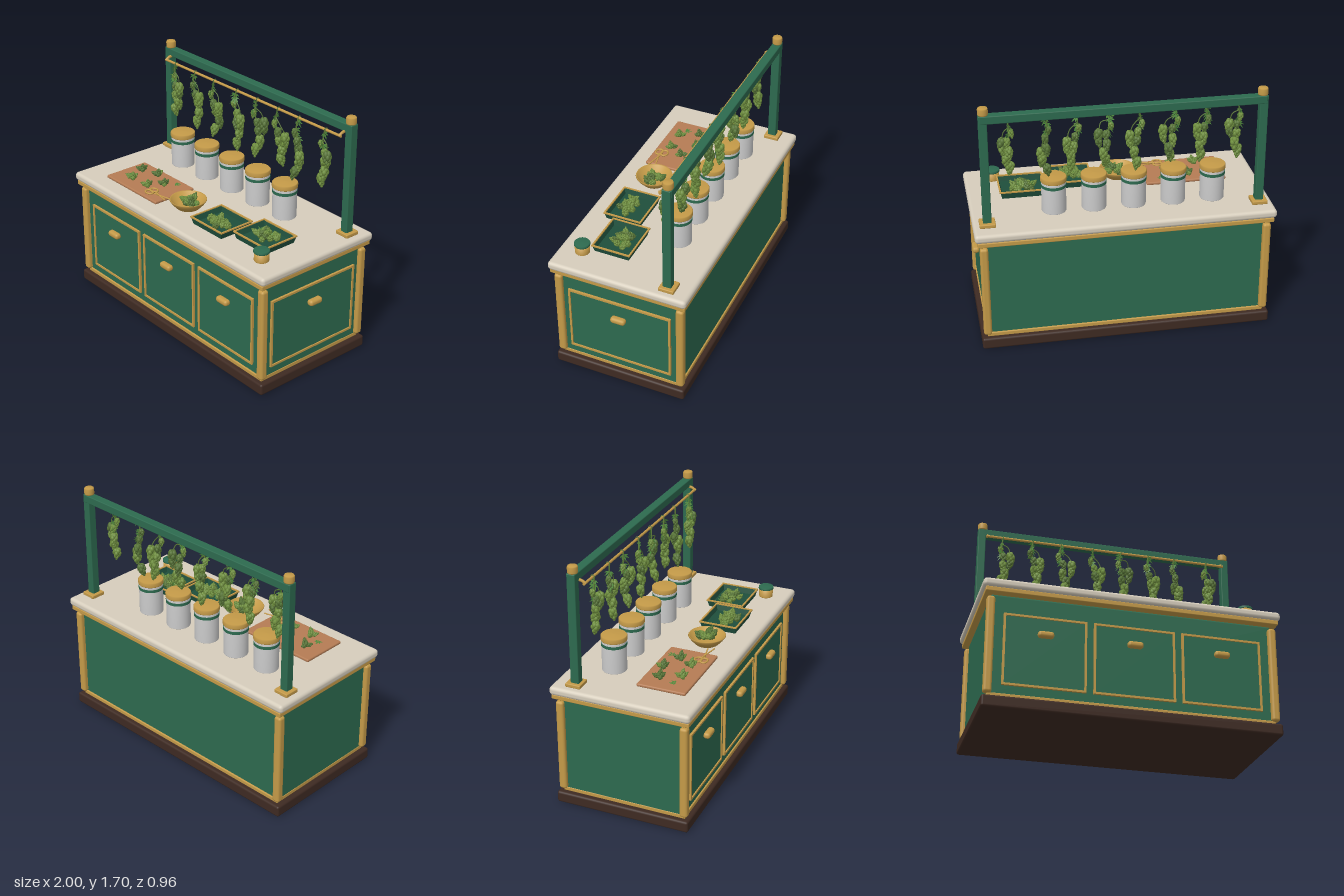
import * as THREE from 'three';
import { mergeGeometries } from 'three/addons/utils/BufferGeometryUtils.js';
import { RoundedBoxGeometry } from 'three/addons/geometries/RoundedBoxGeometry.js';

const mat = (color, extra = {}) => new THREE.MeshStandardMaterial({ color, ...extra });
const GREEN = mat(0x2d6a4f), GOLD = mat(0xc49a48), STONE = mat(0xd6cdbc), DARK = mat(0x3e2a22);
const WOOD = mat(0xb57c54), CERAMIC = mat(0xdde1e1), TRAY = mat(0x1f4f3c, { flatShading: true });
const BUD = mat(0x6f8f3e), BUD2 = mat(0x587537), STEM = mat(0x5d7a38);
const LEAF = mat(0x4f8a3c, { side: THREE.DoubleSide });

let seed = 7;
const rand = (a, b) => {
  seed = (seed * 16807) % 2147483647;
  return a + (b - a) * (seed / 2147483647);
};
const V = (x, y, z) => new THREE.Vector3(x, y, z);

export function createModel() {
  const root = new THREE.Group();

  function add(name, geo, material, x = 0, y = 0, z = 0, parent = root) {
    const m = new THREE.Mesh(geo, material);
    m.name = name;
    m.position.set(x, y, z);
    parent.add(m);
    return m;
  }
  function group(name, x = 0, y = 0, z = 0) {
    const g = new THREE.Group();
    g.name = name;
    g.position.set(x, y, z);
    root.add(g);
    return g;
  }
  const box = (w, h, d, r = 0.006) => new RoundedBoxGeometry(w, h, d, 2, r);
  const lathe = (pts, n = 32) => new THREE.LatheGeometry(pts.map(p => new THREE.Vector2(...p)), n);
  const tube = (pts, r, n = 10) => new THREE.TubeGeometry(new THREE.CatmullRomCurve3(pts), n, r, 6);

  // Rectangular trim with an open middle, lying in the XY plane
  function trim(w, h, t, depth) {
    const rect = (C, a, b) => new C([[-a, -b], [a, -b], [a, b], [-a, b]].map(p => new THREE.Vector2(...p)));
    const s = rect(THREE.Shape, w / 2, h / 2);
    s.holes.push(rect(THREE.Path, w / 2 - t, h / 2 - t));
    return new THREE.ExtrudeGeometry(s, { depth, bevelEnabled: false });
  }

  // Cabinet
  add('plinth', box(1.965, 0.08, 0.93, 0.015), DARK, 0, 0.04, 0);
  add('baseTrim', box(1.89, 0.03, 0.865), GOLD, 0, 0.092, 0);
  add('cabinetBody', box(1.885, 0.69, 0.845, 0.015), GREEN, 0, 0.435, 0);
  add('topTrim', box(1.965, 0.032, 0.945), GOLD, 0, 0.794, 0);
  add('countertop', box(2, 0.06, 0.965, 0.024), STONE, 0, 0.84, 0);
  for (const x of [-0.943, 0.943]) for (const z of [-0.428, 0.428])
    add('cornerPost', box(0.055, 0.655, 0.055, 0.018), GOLD, x, 0.428, z);

  // Drawer fronts, three on the front and one on the left end
  function drawer(w, x, z, turn) {
    const g = group('drawer', x, 0, z);
    g.rotation.y = turn;
    add('drawerPanel', box(w - 0.02, 0.465, 0.016, 0.004), GREEN, 0, 0.408, 0, g);
    add('drawerTrim', trim(w, 0.487, 0.014, 0.016), GOLD, 0, 0.408, 0, g);
    add('drawerHandle', box(0.105, 0.043, 0.048, 0.019), GOLD, 0, 0.523, 0.026, g);
  }
  for (const x of [-0.586, 0, 0.586]) drawer(0.54, x, 0.422, 0);
  drawer(0.725, 0.942, 0, Math.PI / 2);

  // Hanging frame
  for (const s of [-1, 1]) {
    add('framePost', box(0.055, 0.775, 0.058), GREEN, s * 0.905, 1.257, -0.328);
    add('postFoot', box(0.105, 0.026, 0.105), GOLD, s * 0.905, 0.883, -0.332);
    add('postCap', lathe([[0, 0], [0.032, 0], [0.034, 0.006], [0.034, 0.04], [0.03, 0.048], [0, 0.05]]),
      GOLD, s * 0.9, 1.645, -0.328);
    add('rodBracket', tube([V(0, 1.592, -0.31), V(0, 1.585, -0.28), V(0, 1.568, -0.255)], 0.01), GOLD, s * 0.868);
  }
  add('frameBeam', box(1.85, 0.055, 0.062), GREEN, 0, 1.617, -0.33);
  const rod = add('hangingRod', new THREE.CylinderGeometry(0.009, 0.009, 1.76, 12), GOLD, 0, 1.57, -0.264);
  rod.rotation.z = Math.PI / 2;

  // Storage jars
  for (let i = 0; i < 5; i++) {
    const g = group('storageJar', -0.617 + i * 0.267, 0.868, -0.2);
    add('jarBody', lathe([[0, 0], [0.078, 0], [0.082, 0.006], [0.082, 0.21], [0.078, 0.22], [0, 0.22]]),
      CERAMIC, 0, 0, 0, g);
    add('jarBand', new THREE.CylinderGeometry(0.0845, 0.0845, 0.02, 32), GREEN, 0, 0.19, 0, g);
    add('jarLid', lathe([[0, 0.218], [0.085, 0.218], [0.087, 0.222], [0.087, 0.246], [0.082, 0.252], [0, 0.255]]),
      GOLD, 0, 0, 0, g);
  }

  // Bud: tapering rings of lumps, one unit long, base at origin, tip along +y
  const lumps = [];
  [[0.14, 4], [0.2, 4], [0.17, 3], [0.1, 3], [0, 1]].forEach(([wide, n], i) => {
    const s = 0.2 - i * 0.022;
    for (let k = 0; k < n; k++) {
      const a = (k / n) * Math.PI * 2 + i * 0.8;
      lumps.push(new THREE.SphereGeometry(1, 7, 5).scale(s, s * 1.2, s)
        .translate(Math.cos(a) * wide, 0.13 + i * 0.185, Math.sin(a) * wide));
    }
  });
  const budGeo = mergeGeometries(lumps);

  // Fan leaf of five pointed leaflets along +y
  const leafGeo = mergeGeometries([-2, -1, 0, 1, 2].map(k => {
    const l = 1 - Math.abs(k) * 0.2;
    const s = new THREE.Shape([[0, 0], [0.11, l * 0.5], [0, l], [-0.11, l * 0.5]].map(p => new THREE.Vector2(...p)));
    return new THREE.ShapeGeometry(s).rotateZ(k * 0.6);
  }));

  const up = V(0, 1, 0);
  function bud(p, dir, size, parent, fat = 1) {
    const m = add('bud', budGeo, rand(0, 1) < 0.7 ? BUD : BUD2, p.x, p.y, p.z, parent);
    m.quaternion.setFromUnitVectors(up, dir.clone().normalize());
    m.rotateY(rand(0, 6));
    m.scale.set(size * fat, size, size * fat);
  }
  function leaf(p, dir, size, parent) {
    const m = add('leaf', leafGeo, LEAF, p.x, p.y, p.z, parent);
    m.quaternion.setFromUnitVectors(up, dir.clone().normalize());
    m.rotateY(rand(-0.8, 0.8));
    m.scale.setScalar(size);
  }

  // Drying bunches: rod x, sideways shift of the tip, bottom height, side bud offset and height
  const bunches = [
    [-0.76, -0.005, 1.165, 0.05, 1.44], [-0.545, 0.03, 1.15, 0.05, 1.43], [-0.34, 0.035, 1.16, 0.07, 1.43],
    [-0.105, 0.015, 1.125, 0.055, 1.41], [0.1, 0.015, 1.16, 0.06, 1.45], [0.305, 0.04, 1.16, 0.06, 1.41],
    [0.5, 0.005, 1.12, 0.03, 1.34], [0.745, -0.01, 1.165, 0.035, 1.43],
  ];
  for (const [x, shift, low, side, sideY] of bunches) {
    const g = group('dryingBunch', x, 0, -0.255);
    const stem = new THREE.CatmullRomCurve3([V(0, 1.575, 0), V(-0.012, 1.48, 0.005),
      V(shift * 0.4 + 0.012, 1.36, -0.005), V(shift, low + 0.08, 0.004)]);
    add('stem', new THREE.TubeGeometry(stem, 14, 0.005, 6), STEM, 0, 0, 0, g);
    const tie = add('tie', new THREE.TorusGeometry(0.013, 0.003, 6, 14), STEM, 0, 1.57, -0.009, g);
    tie.rotation.y = Math.PI / 2;
    [0.06, 0.075, 0.085, 0.095, 0.09].forEach((size, i) => {
      const p = stem.getPoint(0.3 + i * 0.165);
      p.x += i % 2 ? 0.008 : -0.008;
      p.z += rand(-0.008, 0.008);
      bud(p, V(rand(-0.2, 0.2), -1, rand(-0.3, 0.3)), size, g, 0.95);
    });
    // side shoot
    const p0 = stem.getPoint(0.22), p1 = V(side, sideY, rand(-0.015, 0.02));
    add('sideStem', tube([p0, V(side * 0.7, sideY + 0.05, 0.005), p1], 0.0035, 8), STEM, 0, 0, 0, g);
    bud(p1, V(0.1, -1, 0.05), 0.1, g, 0.9);
    bud(p1.clone().add(V(0.005, -0.05, 0)), V(-0.15, -1, -0.1), 0.075, g);
    for (let i = 0; i < 5; i++)
      leaf(stem.getPoint(0.08 + i * 0.1), V(rand(-0.9, 0.9), -1, rand(-0.4, 0.4)), 0.055, g);
  }

  // Cutting board with trimmed buds and loose leaves
  add('cuttingBoard', box(0.555, 0.022, 0.335, 0.009), WOOD, -0.498, 0.88, 0.193);
  const boardBuds = group('boardBuds');
  for (const [x, z] of [[-0.66, 0.135], [-0.525, 0.1], [-0.38, 0.16], [-0.6, 0.265], [-0.44, 0.26]]) {
    bud(V(x, 0.9, z), V(0.3, 1, 0.1), 0.062, boardBuds);
    for (const a of [0.6, 2.5, 4.6])
      bud(V(x + Math.cos(a) * 0.012, 0.906, z + Math.sin(a) * 0.012), V(Math.cos(a), 0.5, Math.sin(a)), 0.04, boardBuds, 1.1);
  }
  for (const [x, z, a] of [[-0.345, 0.09, -0.9], [-0.675, 0.255, 0.2]]) {
    const l = add('looseLeaf', leafGeo, LEAF, x, 0.895, z);
    l.rotation.set(-Math.PI / 2, 0, a);
    l.scale.setScalar(0.055);
  }

  // Scissors
  const scissors = group('scissors', -0.345, 0.905, 0.293);
  for (const s of [-1, 1]) {
    const ring = add('fingerRing', new THREE.TorusGeometry(0.024, 0.006, 8, 24), GOLD, -0.003, 0, s * 0.02, scissors);
    ring.rotation.x = Math.PI / 2;
    ring.scale.x = 1.3;
    const blade = add('blade', box(0.15, 0.007, 0.009, 0.003), GOLD, 0.1, s * 0.004, s * 0.009, scissors);
    blade.rotation.y = -s * 0.2;
  }
  add('pivot', new THREE.CylinderGeometry(0.007, 0.007, 0.018, 12), GOLD, 0.06, 0, 0, scissors);

  // Heap of buds spread over an ellipse
  function heap(name, x, y, z, rx, rz, n) {
    const g = group(name, x, y, z);
    for (let i = 0; i < n; i++) {
      const r = Math.sqrt((i + 0.5) / n), a = i * 2.4;
      const p = V(Math.cos(a) * r * rx, (1 - r) * 0.03, Math.sin(a) * r * rz);
      bud(p, V(rand(-1, 1), rand(0.3, 1), rand(-1, 1)), rand(0.05, 0.065), g, 1.1);
      if (i % 4 === 0) leaf(p, V(rand(-1, 1), 0.8, rand(-1, 1)), 0.05, g);
    }
  }

  // Bowl
  add('bowl', lathe([[0, 0], [0.07, 0], [0.08, 0.006], [0.11, 0.038], [0.127, 0.062], [0.124, 0.068],
    [0.117, 0.064], [0.09, 0.036], [0.06, 0.022], [0, 0.02]], 40), GOLD, -0.05, 0.869, 0.213);
  heap('bowlBuds', -0.035, 0.905, 0.21, 0.05, 0.045, 9);

  // Trays: a square lathe stretched to a rectangle
  const trayGeo = new THREE.LatheGeometry([[0, 0], [0.9, 0], [0.98, 0.047], [0.94, 0.047], [0.87, 0.01], [0, 0.01]]
    .map(([r, y]) => new THREE.Vector2(r * Math.SQRT2, y)), 4, Math.PI / 4);
  for (const [x, z] of [[0.295, 0.214], [0.63, 0.133]]) {
    add('tray', trayGeo, TRAY, x, 0.87, z).scale.set(0.156, 1, 0.135);
    const rim = add('trayRim', trim(0.316, 0.272, 0.011, 0.009), GOLD, x, 0.914, z);
    rim.rotation.x = -Math.PI / 2;
  }
  heap('trayBuds', 0.285, 0.888, 0.235, 0.09, 0.05, 14);
  heap('trayBuds', 0.62, 0.888, 0.115, 0.075, 0.06, 14);

  // Small lidded pot
  add('smallPot', lathe([[0, 0], [0.046, 0], [0.049, 0.004], [0.049, 0.062], [0, 0.062]]), GOLD, 0.808, 0.869, 0.322);
  add('smallPotLid', lathe([[0, 0.06], [0.052, 0.06], [0.053, 0.063], [0.053, 0.073], [0.049, 0.078], [0, 0.08]]),
    GREEN, 0.808, 0.869, 0.322);

  return root;
}
